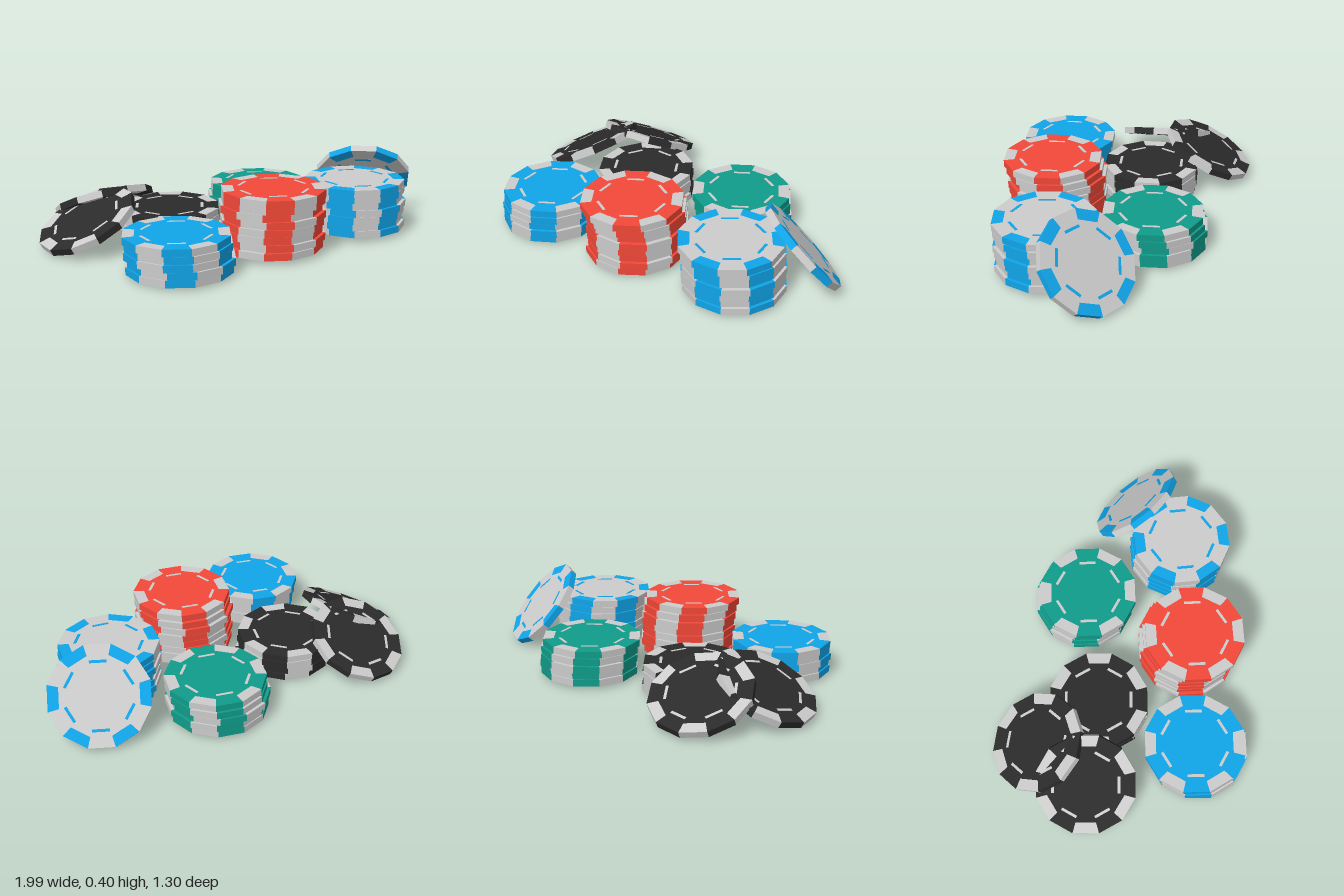
import * as THREE from 'three';
import { mergeGeometries } from 'three/addons/utils/BufferGeometryUtils.js';

const R = 0.256, INNER = 0.2, H = 0.0175, STEP = Math.PI / 6;
const deg = THREE.MathUtils.degToRad;

const material = (color) => new THREE.MeshStandardMaterial({ color, flatShading: true });
const grey = material(0xcccccc), blue = material(0x10a4e8), red = material(0xf24838);
const green = material(0x109c8a), black = material(0x2b2b2b);

// One of the twelve wedges of a chip, swept from an open profile of [radius, y] pairs
function wedge(i, profile) {
  const points = profile.map(([r, y]) => new THREE.Vector2(r, y));
  return new THREE.LatheGeometry(points, 1, (i - 0.5) * STEP, STEP);
}

// Body: full wedges alternating with wedges whose rim belongs to an edge spot
function bodyGeometry() {
  const parts = [];
  for (let i = 0; i < 12; i++) {
    if (i % 2) parts.push(wedge(i, [[0, -H], [R, -H], [R, H], [0, H]]));
    else parts.push(wedge(i, [[0, -H], [INNER, -H]]), wedge(i, [[INNER, H], [0, H]]));
  }
  return mergeGeometries(parts);
}

// Edge spots on every second facet, and a thin dash between each pair
function spotGeometry() {
  const parts = [];
  for (let i = 0; i < 12; i++) {
    if (i % 2) {
      const dash = new THREE.BoxGeometry(0.085, 2 * H + 0.002, 0.014);
      parts.push(dash.translate(0, 0, 0.165).rotateY(i * STEP));
    } else {
      parts.push(wedge(i, [[INNER, -H], [R, -H], [R, H], [INNER, H]]));
    }
  }
  return mergeGeometries(parts);
}

export function createModel() {
  const model = new THREE.Group();
  const bodyGeo = bodyGeometry(), spotGeo = spotGeometry();

  function chip(name, bodyMaterial, spotMaterial) {
    const group = new THREE.Group();
    group.name = name;
    const body = new THREE.Mesh(bodyGeo, bodyMaterial);
    body.name = 'chipBody';
    const spots = new THREE.Mesh(spotGeo, spotMaterial);
    spots.name = 'chipSpots';
    group.add(body, spots);
    group.rotation.order = 'ZXY';
    return group;
  }

  // Upright stacks: x, z of the top chip, drift of the lower chips, and small offsets per chip
  const stacks = [
    { name: 'blueStack', mats: [blue, grey], n: 5, x: -0.568, z: 0.373, drift: [0.006, 0.018], y0: 0.018, pitch: 0.0345, spin: 1 },
    { name: 'redStack', mats: [red, grey], n: 8, x: -0.031, z: 0.376, drift: [0.01, -0.025], y0: 0.028, pitch: 0.0375, spin: 3 },
    { name: 'whiteStack', mats: [grey, blue], n: 7, x: 0.515, z: 0.322, drift: [0.012, -0.01], y0: 0.03, pitch: 0.036, spin: 6 },
    { name: 'greenStack', mats: [green, grey], n: 5, x: 0.245, z: -0.17, drift: [0.004, -0.02], y0: 0.02, pitch: 0.036, spin: 2 },
    { name: 'blackStack', mats: [black, grey], n: 4, x: -0.335, z: -0.11, drift: [0.005, 0], y0: 0.02, pitch: 0.036, spin: 30 },
  ];
  for (const s of stacks) {
    const stack = new THREE.Group();
    stack.name = s.name;
    for (let i = 0; i < s.n; i++) {
      const below = s.n - 1 - i, k = Math.min(1, below / 2);
      const c = chip('chip', ...s.mats);
      c.position.set(
        s.x + k * (s.drift[0] + 0.008 * Math.sin(below * 2.4)),
        s.y0 + H + i * s.pitch,
        s.z + k * (s.drift[1] + 0.006 * Math.cos(below * 1.9)));
      c.rotation.y = deg(s.spin + 1.5 * k * Math.sin(below * 3.1));
      stack.add(c);
    }
    model.add(stack);
  }

  // Black chip leaning on the black stack from the side
  const side = chip('leaningBlackChip', black, grey);
  side.position.set(-0.765, 0.138, -0.17);
  side.rotation.set(0, deg(30), deg(26.5));
  model.add(side);

  // Black chip leaning from behind
  const rear = chip('rearBlackChip', black, grey);
  rear.position.set(-0.555, 0.147, -0.415);
  rear.rotation.set(deg(-26.5), deg(20), 0);
  model.add(rear);

  // White chip propped against the white stack
  const propped = chip('proppedWhiteChip', grey, blue);
  const up = new THREE.Vector3(0.48, 0.65, -0.59).normalize();
  const front = new THREE.Vector3(0.59, 0, 0.48).normalize();
  const across = new THREE.Vector3().crossVectors(up, front);
  propped.quaternion.setFromRotationMatrix(new THREE.Matrix4().makeBasis(across, up, front));
  propped.position.set(0.768, 0.206, 0.085);
  model.add(propped);

  return model;
}
